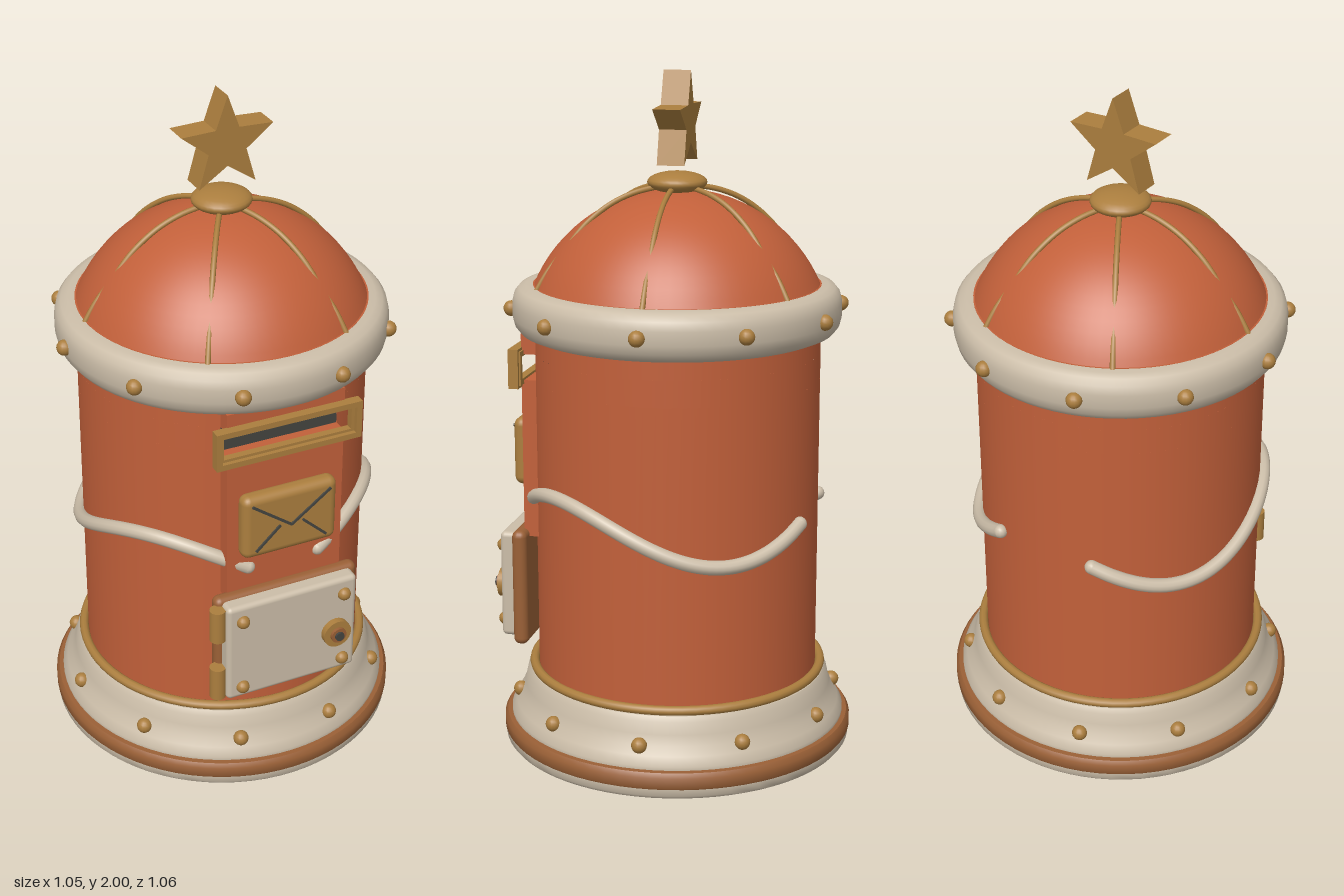
import * as THREE from 'three';
import { toCreasedNormals } from 'three/addons/utils/BufferGeometryUtils.js';
import { RoundedBoxGeometry } from 'three/addons/geometries/RoundedBoxGeometry.js';

const V = (x, y, z) => new THREE.Vector3(x, y, z);
const mat = (name, color) => Object.assign(new THREE.MeshStandardMaterial({ color }), { name });

export function createModel() {
  const model = new THREE.Group();
  model.name = 'postBox';
  const red = mat('terracotta', 0xc2603a);
  const cream = mat('cream', 0xcbbda8);
  const gold = mat('brass', 0xab7e3e);
  const brown = mat('copper', 0x9a6036);
  const dark = mat('dark', 0x444440);

  const add = (name, geo, material, x = 0, y = 0, z = 0) => {
    const mesh = new THREE.Mesh(geo, material);
    mesh.name = name;
    mesh.position.set(x, y, z);
    model.add(mesh);
    return mesh;
  };
  const lathe = (name, pts, material) => add(name, toCreasedNormals(
    new THREE.LatheGeometry(pts.map(p => new THREE.Vector2(...p)), 72), 0.7), material);
  const box = (name, w, h, d, r, material, x, y, z) =>
    add(name, new RoundedBoxGeometry(w, h, d, 3, r), material, x, y, z);
  const disc = (name, r, d, material, x, y, z) => {
    add(name, new THREE.CylinderGeometry(r, r, d, 24), material, x, y, z).rotation.x = Math.PI / 2;
  };

  // Stepped, flared foot
  lathe('baseFoot', [[0, 0], [0.515, 0], [0.523, 0.01], [0.523, 0.03], [0.45, 0.03]], cream);
  lathe('baseBand', [[0.45, 0.025], [0.52, 0.025], [0.527, 0.035], [0.527, 0.065], [0.518, 0.078], [0.45, 0.08]], brown);
  lathe('baseFlare', [[0.47, 0.075], [0.505, 0.08], [0.505, 0.09], [0.49, 0.115], [0.475, 0.14],
    [0.463, 0.17], [0.455, 0.205], [0.445, 0.22], [0.4, 0.222]], cream);
  const trim = add('baseTrim', new THREE.TorusGeometry(0.434, 0.014, 10, 72), gold, 0, 0.232, 0);
  trim.rotation.x = Math.PI / 2;

  // Drum, with a flat recess cut into the front for the mail slot
  const R = 0.42, slotLow = 1.115, slotHigh = 1.192, half = Math.asin(0.18 / R);
  const drum = (name, y0, y1) =>
    add(name, new THREE.CylinderGeometry(R, R, y1 - y0, 72), red, 0, (y0 + y1) / 2, 0);
  drum('lowerDrum', 0.2, slotLow);
  drum('upperDrum', slotHigh, 1.39);
  add('slotBand', new THREE.CylinderGeometry(R, R, slotHigh - slotLow, 72, 1, true, half, Math.PI * 2 - 2 * half),
    red, 0, (slotLow + slotHigh) / 2, 0);
  add('slotBack', new THREE.BoxGeometry(0.36, slotHigh - slotLow, 0.008), dark, 0, (slotLow + slotHigh) / 2, 0.374);
  add('frontPanel', new THREE.BoxGeometry(0.36, slotLow - 0.64, 0.05), red, 0, (slotLow + 0.64) / 2, 0.398);
  add('frontPanelTop', new THREE.BoxGeometry(0.36, 0.06, 0.05), red, 0, slotHigh + 0.03, 0.398);

  // Collar and domed roof
  lathe('collar', [[0.41, 1.245], [0.435, 1.247], [0.46, 1.257], [0.474, 1.275], [0.48, 1.3], [0.48, 1.34],
    [0.474, 1.365], [0.46, 1.382], [0.44, 1.389], [0.41, 1.39]], cream);
  const capR = 0.455, capY = 1.205;
  const dome = [];
  for (let i = 0; i <= 16; i++) {
    const a = 1.178 * (1 - i / 16);
    dome.push([Math.sin(a) * capR, capY + Math.cos(a) * capR]);
  }
  lathe('dome', dome, red);

  // Ribs radiating from the crown
  const rib = new THREE.CatmullRomCurve3([V(0.05, 1.672, 0), V(0.13, 1.655, 0), V(0.2, 1.625, 0),
    V(0.27, 1.573, 0), V(0.33, 1.505, 0), V(0.385, 1.44, 0), V(0.423, 1.38, 0)]);
  const ribGeo = new THREE.TubeGeometry(rib, 28, 0.008, 8);
  for (let i = 0; i < 6; i++) add('domeRib', ribGeo, gold).rotation.y = i * Math.PI / 3;

  // Crown knob and star
  add('crownKnob', new THREE.SphereGeometry(0.087, 28, 14), gold, 0, 1.682, 0).scale.y = 0.36;
  const star = new THREE.Shape();
  for (let i = 0; i < 10; i++) {
    const r = i % 2 ? 0.06 : 0.145, a = Math.PI / 2 + i * Math.PI / 5;
    star[i ? 'lineTo' : 'moveTo'](r * Math.cos(a), r * Math.sin(a));
  }
  star.closePath();
  add('star', new THREE.ExtrudeGeometry(star, { depth: 0.08, bevelEnabled: false }), gold, 0, 1.855, -0.04);

  // Rivets round the collar and the foot
  const stud = new THREE.SphereGeometry(0.023, 14, 10);
  for (let i = 0; i < 10; i++) {
    const a = i * Math.PI / 5, c = Math.cos(a), s = Math.sin(a);
    add('collarRivet', stud, gold, c * 0.483, 1.32, s * 0.483);
    add('baseRivet', stud, gold, c * 0.477, 0.14, s * 0.477);
  }

  // Waving cords on both sides
  for (const side of [-1, 1]) {
    const pts = [];
    for (let i = 0; i <= 20; i++) {
      const t = i / 20, a = 0.26 + t * 2.5;
      pts.push(V(side * 0.43 * Math.sin(a), 0.73 + 0.078 * Math.sin(t * Math.PI * 2), 0.43 * Math.cos(a)));
    }
    add('cord', new THREE.TubeGeometry(new THREE.CatmullRomCurve3(pts), 60, 0.021, 12), cream);
    for (const end of [pts[0], pts[20]]) add('cordEnd', new THREE.SphereGeometry(0.021, 12, 8), cream, end.x, end.y, end.z);
  }

  // Mail slot frame: outer plate and slim raised lip
  const frame = (name, w, h, border, depth, z) => {
    const rect = (path, a, b) => path.moveTo(-a, -b).lineTo(a, -b).lineTo(a, b).lineTo(-a, b).closePath();
    const shape = rect(new THREE.Shape(), w / 2, h / 2);
    shape.holes.push(rect(new THREE.Path(), w / 2 - border, h / 2 - border));
    add(name, new THREE.ExtrudeGeometry(shape, { depth, bevelEnabled: false }), gold, 0, 1.155, z);
  };
  frame('slotFrame', 0.425, 0.1, 0.017, 0.022, 0.415);
  frame('slotFrameLip', 0.445, 0.116, 0.017, 0.03, 0.42);

  // Envelope badge with dark fold lines
  box('envelopeBadge', 0.294, 0.204, 0.055, 0.024, gold, 0, 0.887, 0.4375);
  const fold = (x0, y0, x1, y1) => {
    const len = Math.hypot(x1 - x0, y1 - y0);
    add('envelopeFold', new THREE.BoxGeometry(len, 0.007, 0.008), dark, (x0 + x1) / 2, (y0 + y1) / 2, 0.466)
      .rotation.z = Math.atan2(y1 - y0, x1 - x0);
  };
  for (const s of [-1, 1]) {
    fold(s * 0.122, 0.965, 0, 0.875);
    fold(s * 0.11, 0.812, s * 0.035, 0.882);
  }

  // Collection door with rivets, lock and hinges
  box('doorFrame', 0.454, 0.354, 0.045, 0.02, brown, 0, 0.487, 0.43);
  box('door', 0.415, 0.324, 0.06, 0.015, cream, -0.002, 0.492, 0.463);
  for (const x of [-0.162, 0.162]) for (const y of [0.37, 0.602])
    add('doorRivet', new THREE.SphereGeometry(0.02, 14, 10), gold, x, y, 0.494);
  disc('lockPlate', 0.044, 0.022, gold, 0.136, 0.476, 0.502);
  disc('lockRing', 0.024, 0.012, brown, 0.136, 0.476, 0.516);
  disc('keyhole', 0.014, 0.008, dark, 0.136, 0.476, 0.525);
  for (const y of [0.388, 0.592])
    add('hinge', new THREE.CylinderGeometry(0.024, 0.024, 0.104, 18), gold, -0.227, y, 0.462);

  return model;
}
